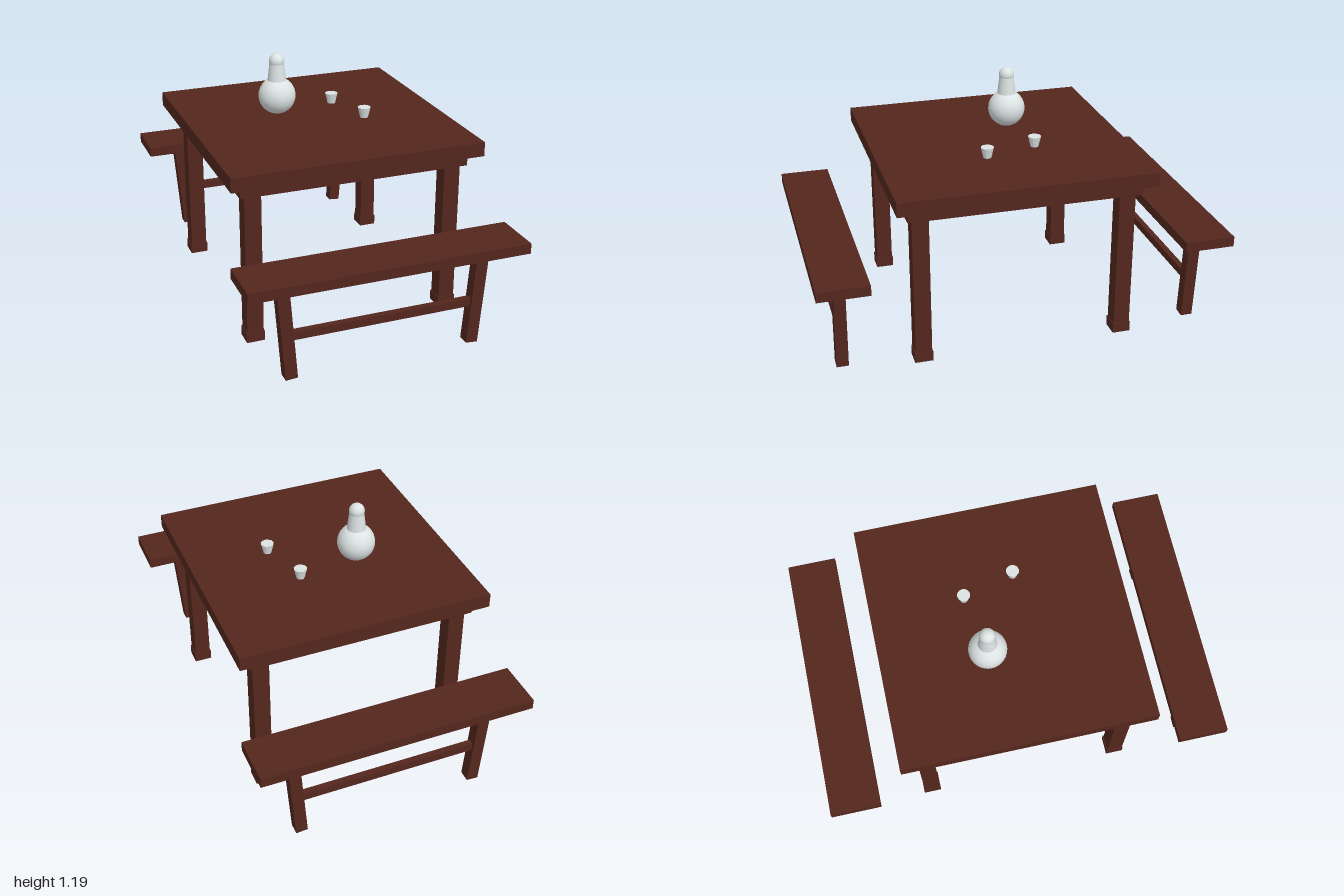
import * as THREE from 'three';

const wood = new THREE.MeshStandardMaterial({ color: 0x54271d });
const ceramic = new THREE.MeshStandardMaterial({ color: 0xdce3e3 });
const ceramicFlat = new THREE.MeshStandardMaterial({ color: 0xdce3e3, flatShading: true });

function add(parent, name, geometry, material, x, y, z) {
  const mesh = new THREE.Mesh(geometry, material);
  mesh.name = name;
  mesh.position.set(x, y, z);
  parent.add(mesh);
  return mesh;
}

function addBox(parent, name, w, h, d, x, y, z) {
  return add(parent, name, new THREE.BoxGeometry(w, h, d), wood, x, y, z);
}

function group(parent, name) {
  const g = new THREE.Group();
  g.name = name;
  parent.add(g);
  return g;
}

function createTable(parent) {
  const table = group(parent, 'table');
  addBox(table, 'tableTop', 1.236, 0.07, 1.236, 0, 0.843, 0);
  for (const s of [-1, 1]) {
    // Apron boards under the top
    addBox(table, 'apronLong', 1.1, 0.06, 0.036, 0, 0.778, s * 0.543);
    addBox(table, 'apronSide', 0.036, 0.06, 1.122, s * 0.543, 0.778, 0);
    // Legs with a slightly wider foot block
    for (const t of [-1, 1]) {
      addBox(table, 'tableLeg', 0.08, 0.8, 0.08, s * 0.495, 0.408, t * 0.498);
      addBox(table, 'tableFoot', 0.088, 0.05, 0.088, s * 0.495, 0.025, t * 0.498);
    }
  }
}

function createBench(parent, side) {
  const bench = group(parent, side > 0 ? 'frontBench' : 'backBench');
  addBox(bench, 'benchSeat', 1.34, 0.05, 0.246, 0, 0.495, side * 0.877);
  // Legs lean inwards towards the floor
  for (const s of [-1, 1]) {
    const leg = addBox(bench, 'benchLeg', 0.058, 0.472, 0.058, s * 0.465, 0.2375, side * 0.877);
    leg.rotation.z = -s * 0.08;
  }
  addBox(bench, 'benchStretcher', 0.9, 0.04, 0.03, 0, 0.21, side * 0.877);
}

function createBottle(parent) {
  const bottle = group(parent, 'bottle');
  bottle.position.set(-0.157, 0.88, -0.105);
  add(bottle, 'bottleBody', new THREE.SphereGeometry(0.092, 32, 20), ceramic, 0, 0.092, 0);
  add(bottle, 'bottleNeck', new THREE.CylinderGeometry(0.034, 0.046, 0.1, 32), ceramic, 0, 0.221, 0);
  add(bottle, 'bottleStopper', new THREE.SphereGeometry(0.038, 24, 16), ceramic, 0, 0.268, 0);
}

export function createModel() {
  const model = new THREE.Group();
  model.name = 'tableWithBenches';
  createTable(model);
  for (const side of [-1, 1]) createBench(model, side);
  createBottle(model);
  // Two small tapered cups
  for (const [x, z] of [[0.152, -0.157], [0.225, 0.1]]) {
    add(model, 'cup', new THREE.CylinderGeometry(0.032, 0.02, 0.052, 12), ceramicFlat, x, 0.904, z);
  }
  return model;
}
